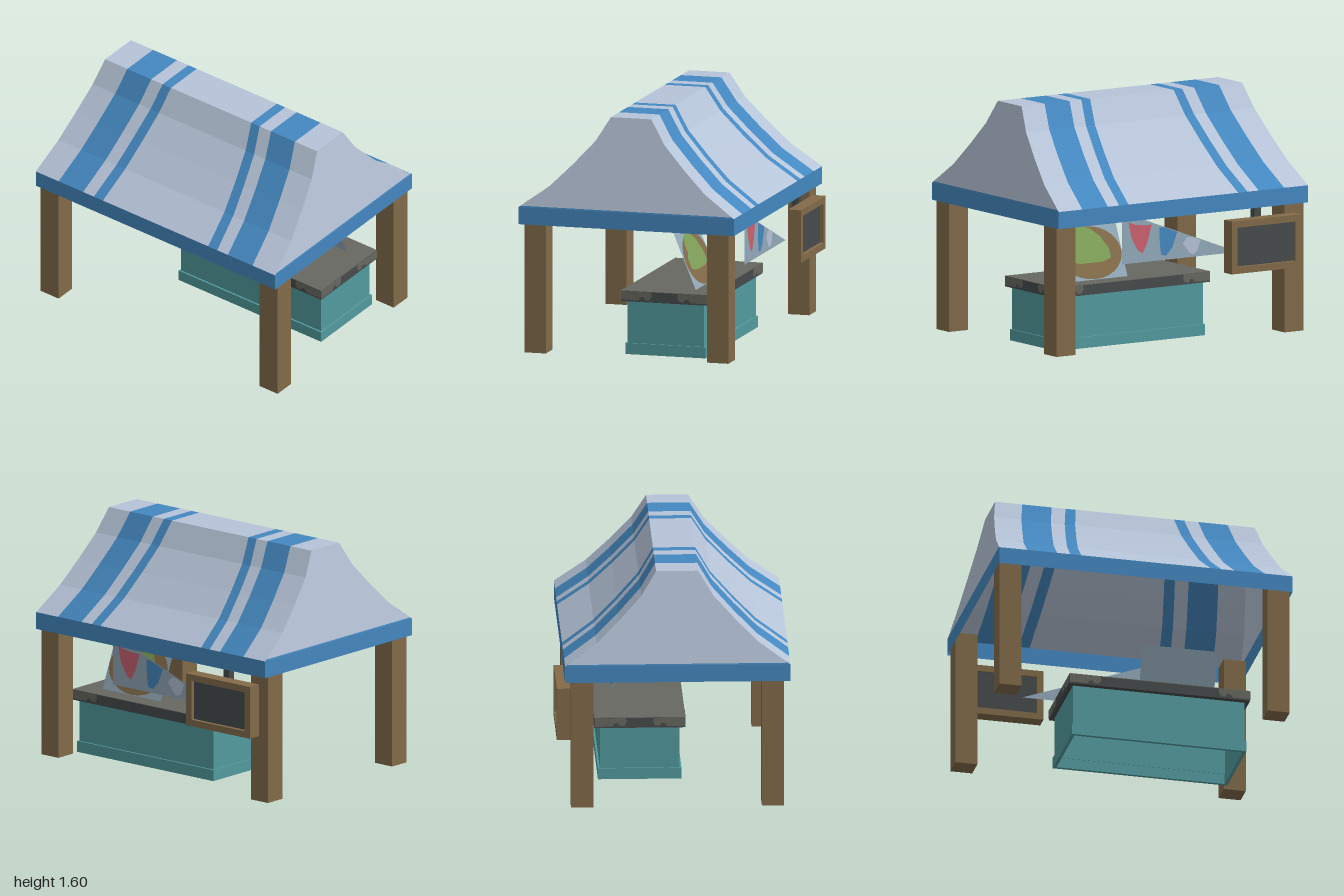
import * as THREE from 'three';

const paint = (name, color, side = THREE.FrontSide) => {
  const m = new THREE.MeshStandardMaterial({ color, side, flatShading: true });
  m.name = name;
  return m;
};

export function createModel() {
  const both = THREE.DoubleSide;
  const cloth = paint('pale cloth', 0xb6c4d8, both);
  const blue = paint('blue cloth', 0x4488c0, both);
  const wood = paint('wood', 0x826b49, both);
  const teal = paint('teal paint', 0x539b9f, both);
  const charcoal = paint('charcoal', 0x474b4c);
  const stone = paint('grey stone', 0x686861, both);
  const board = paint('board blue grey', 0x92a9b9, both);
  const red = paint('red cloth', 0xcb6270, both);
  const green = paint('leaf green', 0x80a058, both);

  const model = new THREE.Group();
  const add = (name, geometry, material, parent = model) => {
    const mesh = new THREE.Mesh(geometry, material);
    mesh.name = name;
    parent.add(mesh);
    return mesh;
  };
  // Box given by its limits on each axis
  const box = (name, mat, x0, x1, y0, y1, z0, z1) => {
    const g = new THREE.BoxGeometry(x1 - x0, y1 - y0, z1 - z0);
    g.translate((x0 + x1) / 2, (y0 + y1) / 2, (z0 + z1) / 2);
    return add(name, g, mat);
  };
  // Surface made of four-cornered faces
  const quads = (name, mat, list) => {
    const pos = list.flatMap(([a, b, c, d]) => [a, b, c, a, c, d].flat());
    const g = new THREE.BufferGeometry();
    g.setAttribute('position', new THREE.Float32BufferAttribute(pos, 3));
    g.computeVertexNormals();
    return add(name, g, mat);
  };
  const shapeOf = (pts) => new THREE.Shape(pts.map(([x, y]) => new THREE.Vector2(x, y)));

  // Roof: half widths by height, with ends leaning inward
  const cx = -0.0275, eave = 0.98, top = 1.6;
  const half = [[0.7475, eave], [0.5375, 1.13], [0.385, 1.28], [0.2375, 1.44], [0.14, top]];
  const profile = [
    ...half.map(([w, y]) => [cx - w, y]),
    ...[...half].reverse().map(([w, y]) => [cx + w, y]),
  ];
  const zAt = ([low, high], y) => low + (high - low) * (y - eave) / (top - eave);

  // Cloth strips across the roof, alternating plain and blue
  const edges = [[1, 0.885], [0.81, 0.7], [0.605, 0.5], [0.515, 0.405], [0.44, 0.335]];
  const lines = [...edges, ...[...edges].reverse().map(([a, b]) => [-a, -b])];
  for (let i = 0; i < lines.length - 1; i++) {
    const faces = [];
    for (let j = 0; j < profile.length - 1; j++) {
      const [p, q] = [profile[j], profile[j + 1]];
      const at = ([x, y], line) => [x, y, zAt(line, y)];
      faces.push([at(p, lines[i]), at(q, lines[i]), at(q, lines[i + 1]), at(p, lines[i + 1])]);
    }
    quads(i % 2 ? 'roofStripe' : 'roofCloth', i % 2 ? blue : cloth, faces);
  }

  // Gables, with a narrow blue edge at the bottom
  const levels = [half[0], [0.733, 0.99], ...half.slice(1)];
  for (const s of [1, -1]) {
    const faces = [];
    for (let i = 0; i < levels.length - 1; i++) {
      const [[w0, y0], [w1, y1]] = [levels[i], levels[i + 1]];
      const z0 = s * zAt(edges[0], y0), z1 = s * zAt(edges[0], y1);
      faces.push([[cx - s * w0, y0, z0], [cx + s * w0, y0, z0],
        [cx + s * w1, y1, z1], [cx - s * w1, y1, z1]]);
    }
    quads('gableEdge', blue, faces.slice(0, 1));
    quads('gable', cloth, faces.slice(1));
  }

  // Hanging skirt around the eaves
  const corners = [[-0.775, 1], [0.72, 1], [0.72, -1], [-0.775, -1]];
  quads('roofSkirt', blue, corners.map(([x, z], i) => {
    const [x2, z2] = corners[(i + 1) % 4];
    return [[x, 0.865, z], [x2, 0.865, z2], [x2, eave, z2], [x, eave, z]];
  }));

  // Corner posts
  for (const [x0, x1] of [[-0.735, -0.587], [0.532, 0.68]]) {
    for (const z of [0.915, -0.915]) box('post', wood, x0, x1, 0, 0.95, z - 0.075, z + 0.075);
  }

  // Counter: hollow base and body, open underneath
  const kx = 0.2, kz = 0.255;
  const ring = (name, w, d, y0, y1, t) => {
    const rect = (a, b) => [[-a, -b], [a, -b], [a, b], [-a, b]];
    const s = shapeOf(rect(w / 2, d / 2));
    s.holes.push(shapeOf(rect(w / 2 - t, d / 2 - t)));
    const g = new THREE.ExtrudeGeometry(s, { depth: y1 - y0, bevelEnabled: false });
    g.rotateX(-Math.PI / 2).translate(kx, y0, kz);
    add(name, g, teal);
  };
  ring('counterBase', 0.555, 1.19, 0, 0.075, 0.022);
  ring('counterBody', 0.53, 1.17, 0.07, 0.36, 0.012);

  // Counter slab with a lighter top and worn corners
  const W = 0.605, D = 1.23;
  box('counterSlab', charcoal, kx - W / 2, kx + W / 2, 0.36, 0.428, kz - D / 2, kz + D / 2);
  box('counterTop', stone, kx - W / 2, kx + W / 2, 0.428, 0.432, kz - D / 2, kz + D / 2);
  for (let k = 0; k < 4; k++) {
    const [len, out] = k % 2 ? [D / 2, W / 2] : [W / 2, D / 2];
    const side = new THREE.Group();
    side.name = 'slabEdge';
    side.position.set(kx, 0, kz);
    side.rotation.y = k * Math.PI / 2;
    for (const s of [1, -1]) {
      const pts = [[0, 0.37], [0.12, 0.37], [0.135, 0.39], [0.155, 0.395], [0.17, 0.372],
        [0.2, 0.375], [0.215, 0.4], [0.21, 0.428], [0, 0.428]];
      const g = new THREE.ShapeGeometry(shapeOf(pts.map(([u, y]) => [s * (len - u), y])));
      add('wornPatch', g.translate(0, 0, out + 0.002), stone, side);
    }
    model.add(side);
  }

  // Upright sheet from [z, y] points; xOf gives its x at each height
  const sheet = (name, mat, pts, xOf) => {
    const g = new THREE.ShapeGeometry(shapeOf(pts.map(([z, y]) => [-z, y])), 24);
    g.rotateY(Math.PI / 2);
    const p = g.attributes.position;
    for (let i = 0; i < p.count; i++) p.setX(i, xOf(p.getY(i)));
    g.computeVertexNormals();
    return add(name, g, mat);
  };

  // Leaning menu board with a painted dish
  const lean = (lift) => (y) => 0.37 - 0.41 * (y - 0.432) + lift;
  sheet('menuBoard', board, [[0.72, 0.432], [0.21, 0.432], [0.21, 0.84], [0.72, 0.84]], lean(0));
  const oval = Array.from({ length: 28 }, (_, i) => {
    const a = i / 28 * Math.PI * 2;
    return [0.465 + 0.25 * Math.cos(a), 0.603 + 0.168 * Math.sin(a)];
  });
  sheet('paintedDish', wood, oval, lean(0.003));
  sheet('paintedGreens', green, [[0.65, 0.56], [0.65, 0.63], [0.61, 0.66], [0.61, 0.72],
    [0.56, 0.77], [0.48, 0.775], [0.42, 0.75], [0.36, 0.7], [0.31, 0.62], [0.31, 0.56],
    [0.38, 0.54], [0.56, 0.54]], lean(0.006));

  // Pennant sheet between the right posts
  sheet('pennantSheet', board, [[0.42, 0.562], [-0.515, 0.562], [0.42, 0.912]], () => 0.615);
  sheet('redPennant', red, [[0.37, 0.84], [0.32, 0.82], [0.25, 0.81], [0.185, 0.81],
    [0.22, 0.69], [0.26, 0.62], [0.3, 0.65], [0.35, 0.74]], () => 0.619);
  sheet('bluePennant', blue, [[0.125, 0.785], [0.09, 0.783], [-0.02, 0.742],
    [0.02, 0.64], [0.07, 0.59], [0.11, 0.6], [0.12, 0.68]], () => 0.619);
  sheet('palePennant', cloth, [[-0.065, 0.66], [-0.1, 0.7], [-0.14, 0.697], [-0.205, 0.67],
    [-0.18, 0.6], [-0.15, 0.58], [-0.12, 0.59]], () => 0.619);

  // Hanging sign: wooden frame, recessed dark panel and hanger
  const frame = shapeOf([[0.355, 0.445], [0.91, 0.445], [0.91, 0.8], [0.355, 0.8]]);
  frame.holes.push(shapeOf([[0.4, 0.49], [0.865, 0.49], [0.865, 0.755], [0.4, 0.755]]));
  const frameGeo = new THREE.ExtrudeGeometry(frame, { depth: 0.092, bevelEnabled: false });
  add('signFrame', frameGeo.rotateY(Math.PI / 2).translate(0.68, 0, 0), wood);
  box('signPanel', charcoal, 0.69, 0.745, 0.48, 0.765, -0.875, -0.39);
  box('signHanger', charcoal, 0.63, 0.68, 0.76, 0.98, -0.65, -0.6);

  return model;
}
